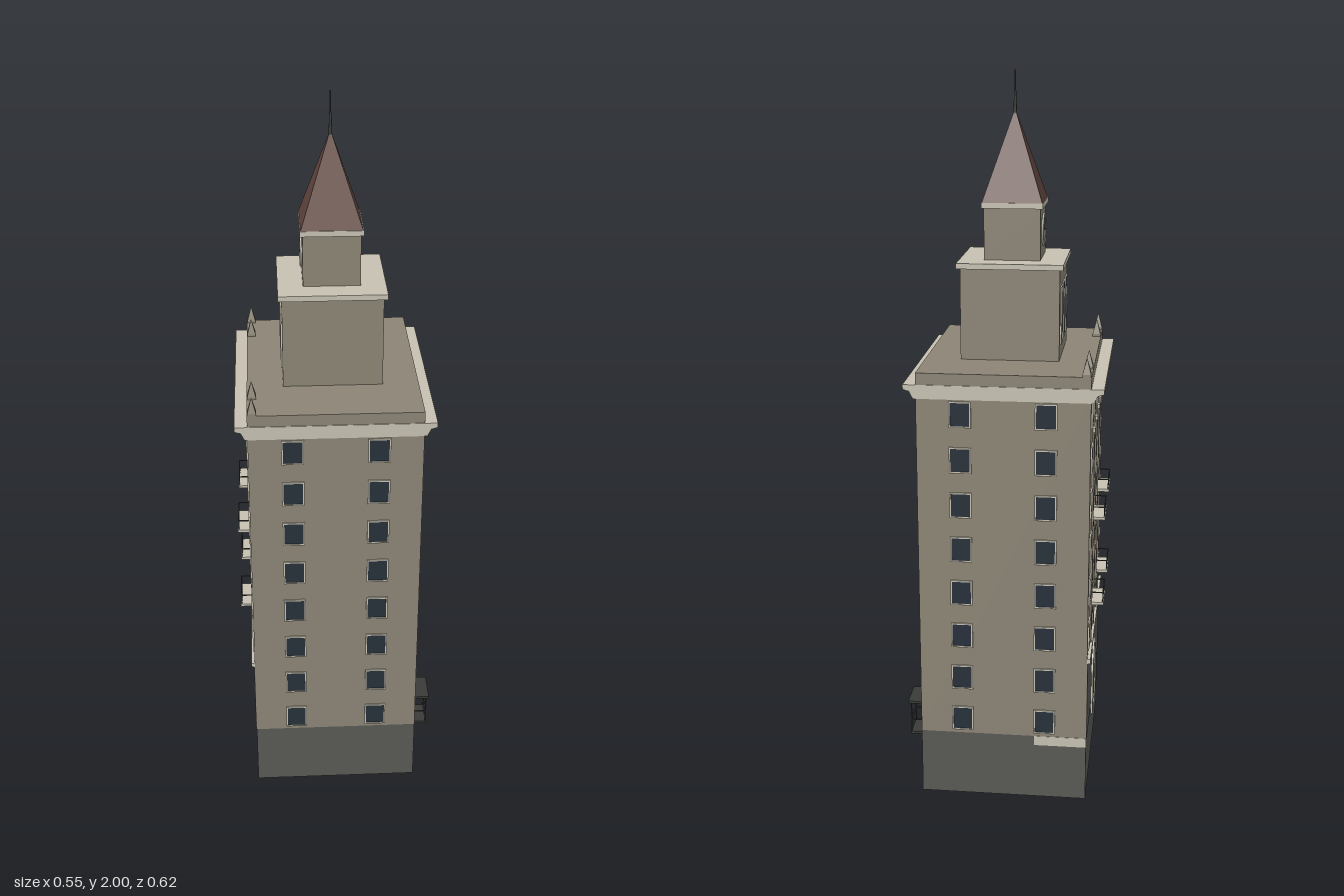
import * as THREE from 'three';

const mat = (name, color, side = THREE.FrontSide) => {
  const m = new THREE.MeshStandardMaterial({ color, side });
  m.name = name;
  return m;
};

export function createModel() {
  const wall = mat('wall stone', 0x8c8576);
  const trim = mat('pale trim', 0xc6c1b2);
  const base = mat('dark granite', 0x595a55);
  const glass = mat('window glass', 0x27303a);
  const roof = mat('spire roof', 0x62453d);
  const metal = mat('dark metal', 0x3a3b39);
  const door = mat('red door', 0x7a4a40);

  const model = new THREE.Group();
  model.name = 'towerBuilding';
  const CX = -0.005, HX = 0.233, HZ = 0.306; // body centre and half sizes

  const add = (parent, name, geo, material, x = 0, y = 0, z = 0) => {
    const m = new THREE.Mesh(geo, material);
    m.name = name;
    m.position.set(x, y, z);
    parent.add(m);
    return m;
  };
  // Box given by centre x/z, bottom and top
  const block = (name, material, w, y0, y1, d, x = CX, z = 0) =>
    add(model, name, new THREE.BoxGeometry(w, y1 - y0, d), material, x, (y0 + y1) / 2, z);

  // Main masses
  block('base', base, 2 * HX, 0, 0.19, 2 * HZ);
  block('mainBody', wall, 2 * HX, 0.19, 1.18, 2 * HZ);
  block('parapet', wall, 2 * HX, 1.18, 1.235, 2 * HZ - 0.002);

  // Cornice overhanging the two long sides
  const profile = new THREE.Shape([
    [-0.24, 1.165], [0.24, 1.165], [0.25, 1.185], [0.267, 1.19],
    [0.267, 1.203], [-0.267, 1.203], [-0.267, 1.19], [-0.25, 1.185],
  ].map(([x, y]) => new THREE.Vector2(x, y)));
  const cornice = new THREE.ExtrudeGeometry(profile, { depth: 2 * HZ + 0.002, bevelEnabled: false });
  add(model, 'cornice', cornice, trim, CX, 0, -HZ - 0.001);

  // Stepped tower
  block('lowerTower', wall, 0.27, 1.235, 1.485, 0.274);
  block('lowerTowerCap', trim, 0.29, 1.485, 1.5, 0.29);
  block('upperTower', wall, 0.154, 1.5, 1.64, 0.158);
  block('upperTowerCap', trim, 0.168, 1.64, 1.655, 0.168);

  // Four-sided pyramids
  const pyramid = (name, material, half, y0, y1, x, z) => {
    const geo = new THREE.ConeGeometry(half * Math.SQRT2, y1 - y0, 4).rotateY(Math.PI / 4).toNonIndexed();
    geo.computeVertexNormals();
    add(model, name, geo, material, x, (y0 + y1) / 2, z);
  };
  pyramid('spire', roof, 0.082, 1.655, 1.9, CX, 0);
  add(model, 'mastBase', new THREE.CylinderGeometry(0.003, 0.005, 0.06, 8), metal, CX, 1.915, 0);
  add(model, 'mast', new THREE.CylinderGeometry(0.0015, 0.0025, 0.1, 8), metal, CX, 1.95, 0);
  for (const z of [-0.295, -0.2, 0.2, 0.295]) {
    block('finialBase', wall, 0.023, 1.235, 1.242, 0.023, -0.225, z);
    pyramid('finial', wall, 0.0115, 1.242, 1.285, -0.225, z);
  }

  // Wall faces: local x runs along the wall, local z points outward
  const face = (name, x, z, turn) => {
    const g = new THREE.Group();
    g.name = name;
    g.position.set(x, 0, z);
    g.rotation.y = turn;
    model.add(g);
    return g;
  };
  const front = face('frontWall', CX, HZ, 0);
  const back = face('backWall', CX, -HZ, Math.PI);
  const balconySide = face('leftWall', CX + HX, 0, Math.PI / 2);
  const facade = face('mainFacade', CX - HX, 0, -Math.PI / 2);

  const plate = (parent, name, material, u, y, w, h, t, out = 0) =>
    add(parent, name, new THREE.BoxGeometry(w, h, t), material, u, y, out + t / 2);

  // Window: four frame strips around a thin pane
  const windowUnit = (parent, u, y, w, h, f = 0.004) => {
    plate(parent, 'windowPane', glass, u, y, w, h, 0.002);
    if (!f) return;
    for (const s of [-1, 1]) {
      plate(parent, 'windowJamb', trim, u + s * (w + f) / 2, y, f, h + 2 * f, 0.004);
      plate(parent, 'windowRail', trim, u, y + s * (h + f) / 2, w, f, 0.004);
    }
  };

  const rowY = (i) => 1.125 - i * 0.127;
  for (let i = 0; i < 8; i++) {
    for (const u of [-0.115, 0.115]) {
      windowUnit(front, u, rowY(i), 0.052, 0.064);
      windowUnit(back, u, rowY(i), 0.052, 0.064);
    }
    for (const u of [-0.247, -0.122, 0.122, 0.247]) {
      windowUnit(balconySide, u, rowY(i), 0.054, 0.064);
      if (i < 6) windowUnit(facade, u, rowY(i), 0.05, 0.066);
    }
    // Stair windows at half levels
    windowUnit(balconySide, 0, i < 7 ? 1.06 - i * 0.127 : 0.236, 0.042, 0.05, 0.002);
    if (i < 6) windowUnit(facade, 0, rowY(i), 0.042, 0.066);
  }

  // Pale strip on the back beside the facade corner
  plate(back, 'cornerBand', trim, 0.16, 0.176, 0.146, 0.028, 0.001);

  // Canopied balconies
  for (const u of [-0.217, 0.217]) {
    const b = new THREE.Group();
    b.name = 'canopiedBalcony';
    b.position.x = u;
    balconySide.add(b);
    plate(b, 'balconyDoor', door, 0, 0.222, 0.04, 0.046, 0.008);
    plate(b, 'canopy', metal, 0, 0.253, 0.092, 0.007, 0.046);
    plate(b, 'balconyFloor', metal, 0, 0.153, 0.076, 0.007, 0.04);
    plate(b, 'frontRail', metal, 0, 0.195, 0.076, 0.003, 0.003, 0.037);
    for (const s of [-1, 1]) {
      plate(b, 'post', metal, s * 0.037, 0.202, 0.003, 0.1, 0.003, 0.037);
      plate(b, 'sideRail', metal, s * 0.037, 0.195, 0.003, 0.003, 0.038);
    }
  }

  // Facade: dark lower storeys, string course and pilasters
  plate(facade, 'granitePanel', base, 0, 0.305, 2 * HZ, 0.23, 0.002);
  plate(facade, 'stringCourse', trim, 0, 0.427, 2 * HZ, 0.014, 0.009);
  for (const u of [-0.186, -0.062, 0.062, 0.186]) {
    plate(facade, 'pilaster', wall, u, 0.745, 0.018, 0.622, 0.005);
    plate(facade, 'pilasterCap', trim, u, 1.061, 0.024, 0.01, 0.007);
  }

  // Arched entrance
  const arch = (r, y0, yc) => {
    const s = new THREE.Shape();
    s.moveTo(-r, y0);
    s.lineTo(r, y0);
    s.lineTo(r, yc);
    s.absarc(0, yc, r, 0, Math.PI, false);
    s.lineTo(-r, y0);
    return s;
  };
  const surround = arch(0.08, 0.15, 0.272);
  surround.holes.push(arch(0.064, 0.151, 0.272));
  const extrude = (shape, depth) =>
    new THREE.ExtrudeGeometry(shape, { depth, bevelEnabled: false, curveSegments: 16 });
  add(facade, 'archSurround', extrude(surround, 0.006), trim, 0, 0, 0.001);
  add(facade, 'archDoor', extrude(arch(0.064, 0.15, 0.272), 0.003), glass, 0, 0, 0.001);

  // Small facade balconies with thin railings
  for (const y of [0.54, 0.795]) for (const u of [-0.122, 0.122]) {
    const b = new THREE.Group();
    b.name = 'facadeBalcony';
    b.position.set(u, y, 0);
    facade.add(b);
    plate(b, 'balconySlab', trim, 0, 0.004, 0.104, 0.008, 0.037);
    plate(b, 'balconyRail', metal, 0, 0.037, 0.1, 0.003, 0.003, 0.033);
    for (let i = 0; i < 9; i++)
      plate(b, 'baluster', metal, -0.048 + i * 0.012, 0.021, 0.002, 0.032, 0.002, 0.033);
    for (const s of [-1, 1]) plate(b, 'sideRail', metal, s * 0.049, 0.037, 0.002, 0.003, 0.035);
  }

  // Tall tower windows and the clock above the facade
  const towerWall = face('towerFacade', CX - 0.135, 0, -Math.PI / 2);
  for (const u of [-0.08, 0, 0.08]) windowUnit(towerWall, u, 1.355, 0.046, 0.15);
  const clock = face('clock', CX - 0.077, 0, -Math.PI / 2);
  const disc = (r, t) => new THREE.CylinderGeometry(r, r, t, 32).rotateX(Math.PI / 2);
  add(clock, 'clockFace', disc(0.043, 0.004), wall, 0, 1.575, 0.002);
  add(clock, 'clockRing', new THREE.TorusGeometry(0.043, 0.003, 8, 32), trim, 0, 1.575, 0.003);
  plate(clock, 'minuteHand', metal, 0, 1.59, 0.004, 0.032, 0.002, 0.004);
  plate(clock, 'hourHand', metal, 0.01, 1.575, 0.022, 0.004, 0.002, 0.004);

  return model;
}
